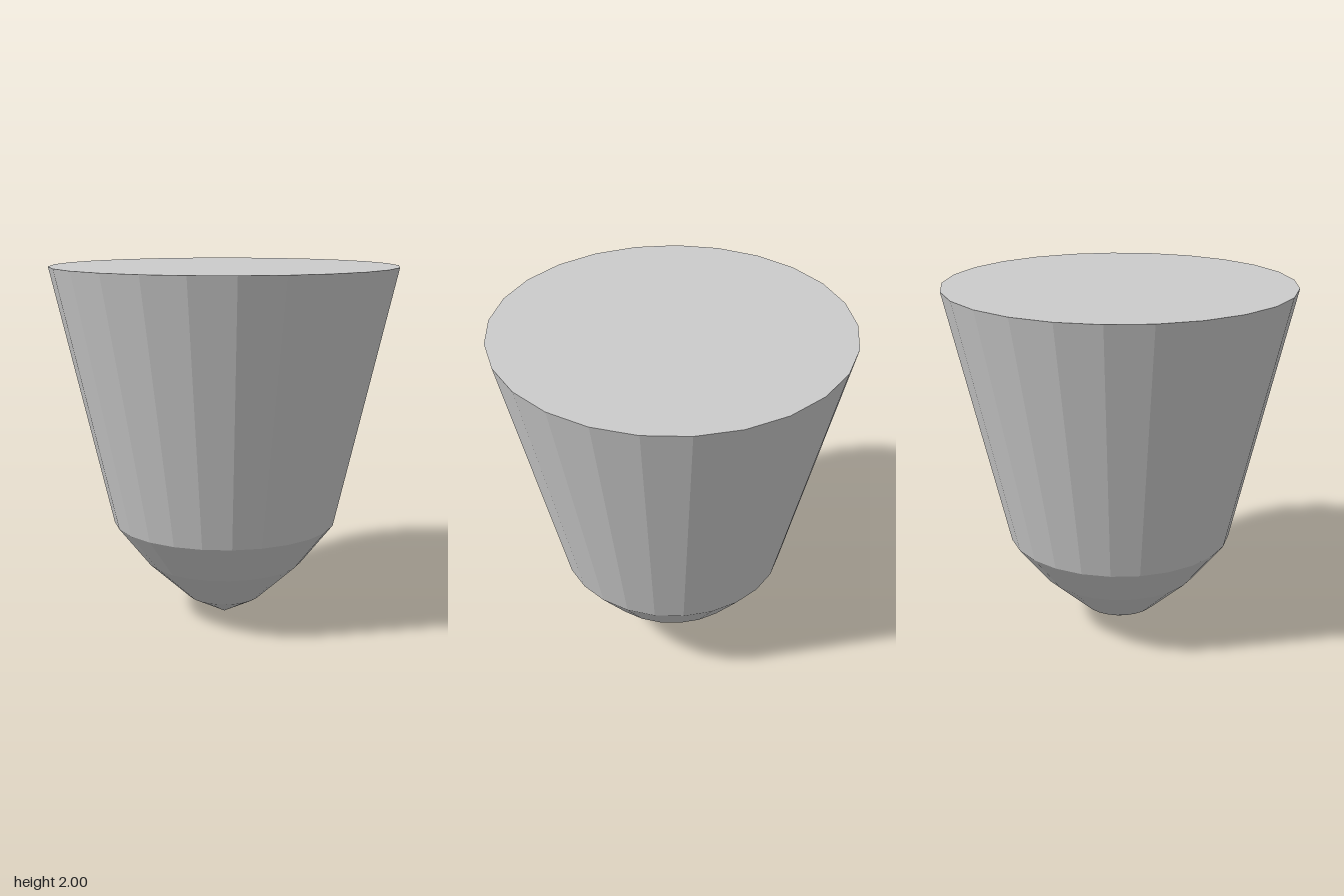
import * as THREE from 'three';

export function createModel() {
  const group = new THREE.Group();
  group.name = 'taperedBullet';
  const material = new THREE.MeshStandardMaterial({ color: 0xcccccc, flatShading: true });

  // Profile from the pointed tip, up the rounded nose and tapered wall, to the flat cap
  const profile = [
    [0, 0], [0.208, 0.11], [0.447, 0.33], [0.628, 0.56], [0.96, 2], [0, 2],
  ].map(([r, y]) => new THREE.Vector2(r, y));

  // 25 flat sides, turned slightly about the axis
  const geometry = new THREE.LatheGeometry(profile, 25, THREE.MathUtils.degToRad(11.8));
  const body = new THREE.Mesh(geometry, material);
  body.name = 'body';
  body.position.x = 0.003;
  group.add(body);

  return group;
}
